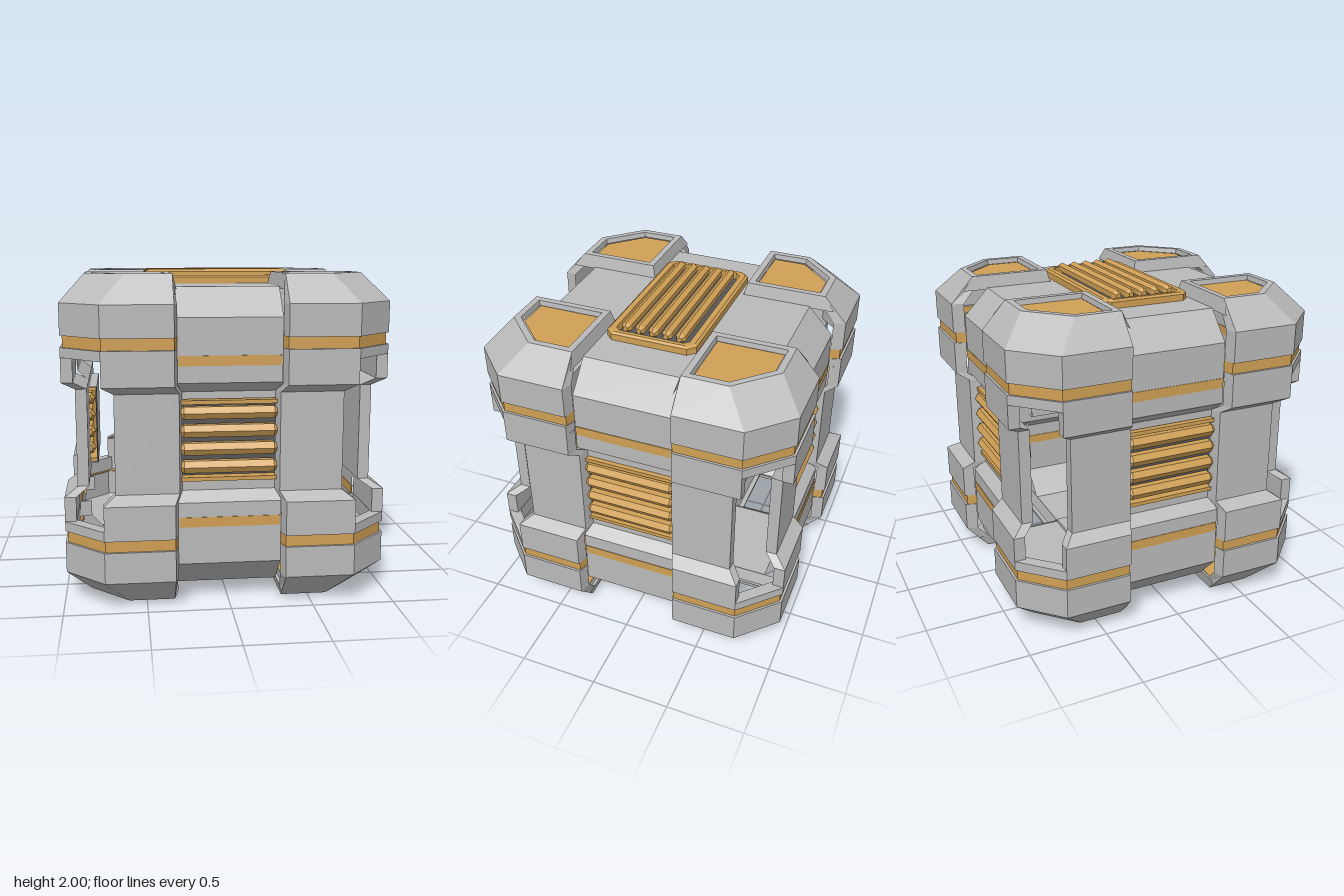
import * as THREE from 'three';

const mat = (name, color) => {
  const m = new THREE.MeshStandardMaterial({ color, side: THREE.DoubleSide });
  m.name = name;
  return m;
};

// Skin a list of cross-sections (rows of [x, y, z]) with flat faces.
function loft(rows, closed = false) {
  const pos = [];
  const n = rows[0].length;
  for (let i = 0; i < rows.length - 1; i++) {
    for (let j = 0; j < (closed ? n : n - 1); j++) {
      const k = (j + 1) % n;
      const a = rows[i][j], b = rows[i][k], c = rows[i + 1][k], d = rows[i + 1][j];
      pos.push(...a, ...b, ...c, ...a, ...c, ...d);
    }
  }
  const g = new THREE.BufferGeometry();
  g.setAttribute('position', new THREE.Float32BufferAttribute(pos, 3));
  g.computeVertexNormals();
  return g;
}

// Six-sided bar with tapered ends, lying along x, one ridge towards +z.
function barGeometry(half, r) {
  const pts = [[0, -half], [r * 0.5, -half], [r, -half + 0.025], [r, half - 0.025], [r * 0.5, half], [0, half]];
  const g = new THREE.LatheGeometry(pts.map(p => new THREE.Vector2(...p)), 6).toNonIndexed();
  g.rotateZ(Math.PI / 2);
  g.computeVertexNormals();
  return g;
}

export function createModel() {
  const grey = mat('greyMetal', 0xbababa);
  const gold = mat('goldTrim', 0xd0a055);
  const dark = mat('darkRecess', 0x565656);
  const model = new THREE.Group();
  model.name = 'crate';

  const add = (parent, name, geo, material, x = 0, y = 0, z = 0) => {
    const m = new THREE.Mesh(geo, material);
    m.name = name;
    m.position.set(x, y, z);
    parent.add(m);
    return m;
  };

  // Corner block section: walls at depth d, chamfer starting at c
  const corner = (y, d, c, ni = 0.31) =>
    [[ni, d - 0.075], [0.33, d], [c, d], [d, c], [d, 0.33], [d - 0.075, ni]].map(([x, z]) => [x, y, z]);
  // Five-sided outline of the block top
  const pad = (y, a, d, c) => [[a, a], [a, d], [c, d], [d, c], [d, a]].map(([x, z]) => [x, y, z]);

  const shellLow = loft([
    corner(0.6, 0.915, 0.72), corner(0.5, 0.915, 0.72),
    corner(0.5, 0.988, 0.75), corner(0.56, 0.988, 0.75), corner(0.56, 0.965, 0.74)]);
  const shellHigh = loft([
    corner(0.63, 0.965, 0.74), corner(0.63, 0.988, 0.75),
    corner(0.82, 0.988, 0.75), corner(0.987, 0.84, 0.61, 0.33)]);
  const band = loft([corner(0.56, 0.973, 0.745), corner(0.63, 0.973, 0.745)]);
  const skirt = loft([
    [[0.91, 0.9, 0.31], [0.31, 0.9, 0.31], [0.31, 0.9, 0.91]],
    [[0.84, 0.987, 0.33], [0.33, 0.987, 0.33], [0.33, 0.987, 0.84]]]);
  const rim = loft([pad(0.987, 0.33, 0.84, 0.61), pad(0.987, 0.37, 0.8, 0.595), pad(0.955, 0.375, 0.795, 0.59)], true);
  const padShape = new THREE.Shape(
    pad(0, 0.378, 0.785, 0.585).map(([x, , z]) => new THREE.Vector2(x, -z)));
  const padGeo = new THREE.ShapeGeometry(padShape).rotateX(-Math.PI / 2);

  // Grille frame section: rectangle with cut corners
  const oct = (y, a, b, c) => [
    [-a + c, b], [a - c, b], [a, b - c], [a, -b + c],
    [a - c, -b], [-a + c, -b], [-a, -b + c], [-a, b - c]].map(([x, z]) => [x, y, z]);
  const grilleFrame = loft([
    oct(0.91, 0.52, 0.285, 0.045), oct(0.95, 0.52, 0.285, 0.045), oct(0.962, 0.505, 0.27, 0.04),
    oct(0.962, 0.48, 0.235, 0.03), oct(0.915, 0.475, 0.23, 0.03)], true);
  const grilleBar = barGeometry(0.465, 0.033).rotateX(-Math.PI / 2);

  // Upper and lower halves, the lower one turned over
  for (const lower of [false, true]) {
    const half = new THREE.Group();
    half.name = lower ? 'lowerHalf' : 'upperHalf';
    half.position.y = 1;
    if (lower) half.rotation.x = Math.PI;
    model.add(half);

    for (let i = 0; i < 4; i++) {
      const block = new THREE.Group();
      block.name = 'cornerBlock';
      block.rotation.y = i * Math.PI / 2;
      half.add(block);
      add(block, 'cornerLowerShell', shellLow, grey);
      add(block, 'cornerUpperShell', shellHigh, grey);
      add(block, 'cornerBand', band, gold);
      add(block, 'cornerInnerWall', skirt, grey);
      add(block, 'padRim', rim, grey);
      // The two rear feet are open
      const rearFoot = lower && (i === 0 || i === 3);
      if (!rearFoot) add(block, 'cornerPad', padGeo, gold, 0, 0.956, 0);
    }

    add(half, 'centrePlate', new THREE.BoxGeometry(0.62, 0.02, 0.62), grey, 0, 0.9, 0);
    add(half, 'grilleFrame', grilleFrame, gold);
    add(half, 'grilleBacking', new THREE.BoxGeometry(0.95, 0.008, 0.46), dark, 0, 0.916, 0);
    for (let k = -2; k <= 2; k++) add(half, 'grilleBar', grilleBar, gold, 0, 0.967, k * 0.086);
  }

  // Middle wall of each side, running from the floor slab to the roof slab
  const profile = [
    [0.31, 0.09], [0.75, 0.09], [0.91, 0.26], [0.91, 0.64], [0.84, 0.7], [0.84, 0.755], [0.79, 0.755],
    [0.79, 1.255], [0.84, 1.255], [0.84, 1.3], [0.91, 1.36], [0.91, 1.74], [0.75, 1.91], [0.31, 1.91]];
  const wall = loft(profile.map(([d, y]) => [[-0.31, y, d], [0.31, y, d]]));

  // Pillar beside the vent, stepping in at mid height
  const pillarRow = (s, [y, d, x0, x1]) => {
    const row = [[x0, d], [x1, d], [x1, d - 0.07], [x0 - 0.02, d - 0.07]].map(([x, z]) => [s * x, y, z]);
    return s > 0 ? row : row.reverse();
  };
  const steps = [
    [0.5, 0.988, 0.33, 0.75], [0.65, 0.988, 0.33, 0.75], [0.7, 0.91, 0.3, 0.68],
    [1.3, 0.91, 0.3, 0.68], [1.35, 0.988, 0.33, 0.75], [1.5, 0.988, 0.33, 0.75]];
  const pillars = [1, -1].map(s => loft(steps.map(p => pillarRow(s, p)), true));
  const ventBar = barGeometry(0.295, 0.043);
  const ventEdge = new THREE.BoxGeometry(0.59, 0.024, 0.07);
  const trim = new THREE.BoxGeometry(0.61, 0.06, 0.009);

  for (let i = 0; i < 4; i++) {
    const side = new THREE.Group();
    side.name = 'sidePanel';
    side.rotation.y = i * Math.PI / 2;
    model.add(side);
    add(side, 'middleWall', wall, grey);
    pillars.forEach(p => add(side, 'pillar', p, grey));
    for (const y of [0.52, 1.49]) add(side, 'trimStripe', trim, gold, 0, y, 0.909);
    add(side, 'ventBacking', new THREE.BoxGeometry(0.6, 0.49, 0.008), dark, 0, 1.005, 0.795);
    for (const y of [0.772, 1.238]) add(side, 'ventEdge', ventEdge, gold, 0, y, 0.83);
    for (let k = 0; k < 4; k++) add(side, 'ventBar', ventBar, gold, 0, 0.848 + k * 0.109, 0.845);
  }
  return model;
}
